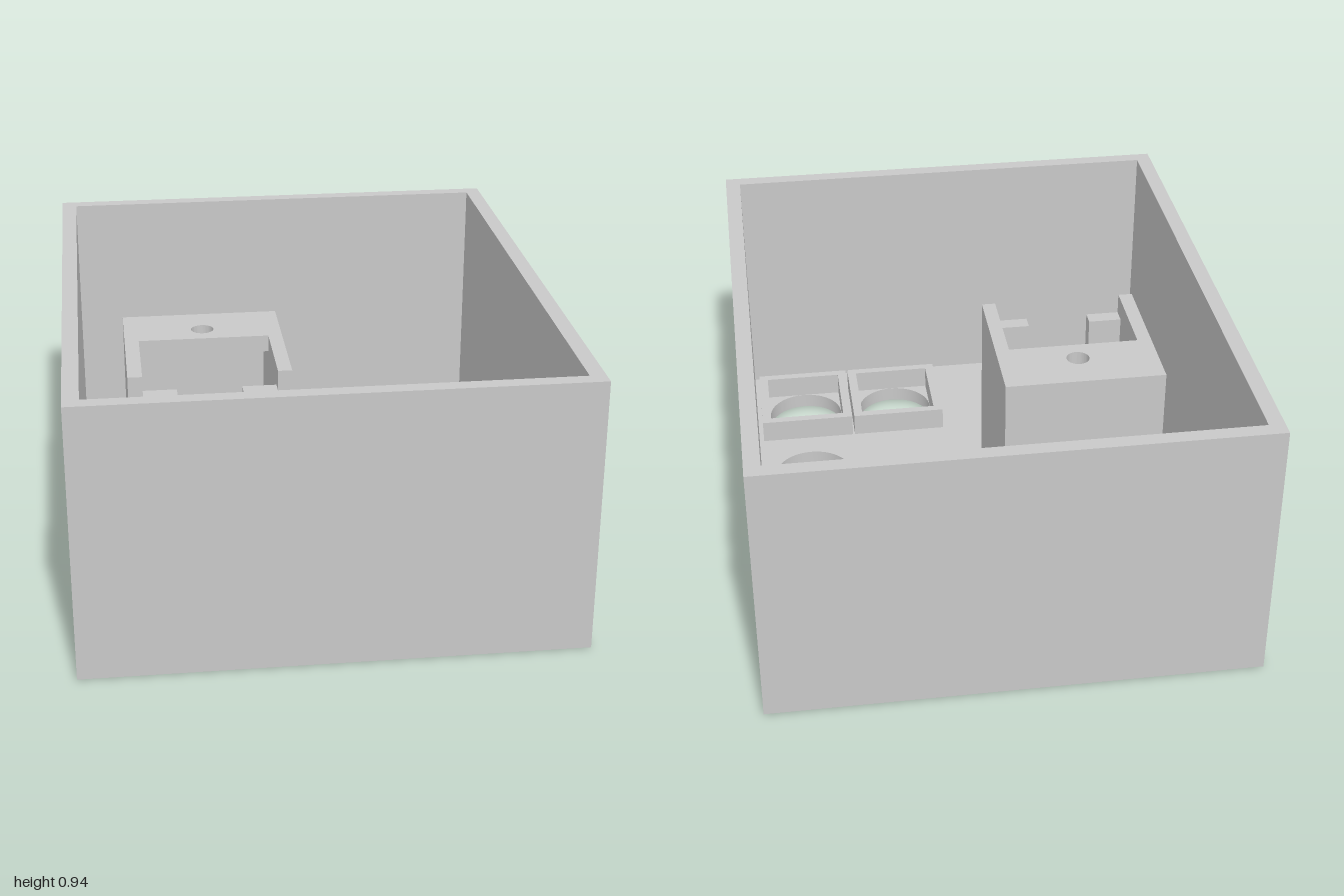
import * as THREE from 'three';
import { toCreasedNormals } from 'three/addons/utils/BufferGeometryUtils.js';

// Plan outlines are given in x and z, and are extruded upwards along y.
// Outer outlines run counter-clockwise, so that holes are turned to match.
const polygon = (pts, Kind = THREE.Shape) =>
  new Kind(pts.map(([x, z]) => new THREE.Vector2(x, -z)));
const rect = (x0, x1, z0, z1, Kind) =>
  polygon([[x0, z1], [x1, z1], [x1, z0], [x0, z0]], Kind);
const rectHole = (x0, x1, z0, z1) => rect(x0, x1, z0, z1, THREE.Path);
const circle = (x, z, r, Kind = THREE.Path) => {
  const c = new Kind();
  c.absarc(x, -z, r, 0, Math.PI * 2, false);
  return c;
};

export function createModel() {
  const model = new THREE.Group();
  model.name = 'enclosure';
  const grey = new THREE.MeshStandardMaterial({ color: 0xc8c8c8 });
  grey.name = 'grey plastic';

  const add = (name, shape, y0, y1, holes = [], parent = model) => {
    shape.holes.push(...holes);
    const geo = new THREE.ExtrudeGeometry(shape, {
      depth: y1 - y0, bevelEnabled: false, curveSegments: 40,
    });
    geo.rotateX(-Math.PI / 2);
    geo.translate(0, y0, 0);
    const mesh = new THREE.Mesh(toCreasedNormals(geo, 0.5), grey);
    mesh.name = name;
    parent.add(mesh);
  };

  const W = 0.833, FLOOR = 0.054, RIM = 0.943, FRAME = 0.138;
  const buttonXs = [0.233, 0.589];

  // Floor plate with all of its openings
  const holes = [
    rectHole(0.242, 0.58, -0.812, -0.258),    // display window
    rectHole(-0.575, -0.114, -0.236, 0.229),  // bracket opening
    rectHole(-0.769, -0.476, 0.404, 0.926),   // socket opening
    circle(-0.622, 0.358, 0.021),             // socket screw holes
    circle(-0.622, 0.972, 0.021),
    circle(0.233, 0.133, 0.058),              // round switch hole
    ...buttonXs.map((x) => circle(x, 0.665, 0.14)),
  ];
  for (let i = -1; i <= 1; i++) {
    for (let j = -1; j <= 1; j++) {
      holes.push(circle(0.589 + i * 0.066, 0.133 + j * 0.066, 0.02));
    }
  }
  add('floor', rect(-W, W, -1, 1), 0, FLOOR, holes);

  // Outer walls
  add('walls', rect(-W, W, -1, 1), FLOOR, RIM, [rectHole(-0.78, 0.78, -0.949, 0.949)]);

  // Display frame, open on one side with short hooked ends
  add('displayFrame', polygon([
    [0.061, -0.882], [0.061, -0.783], [0.093, -0.783], [0.093, -0.845],
    [0.73, -0.845], [0.73, -0.224], [0.093, -0.224], [0.093, -0.29],
    [0.061, -0.29], [0.061, -0.19], [0.765, -0.19], [0.765, -0.882],
  ]), FLOOR, FRAME);

  // Speaker ring
  add('speakerRing', circle(0.589, 0.133, 0.163, THREE.Shape), FLOOR, FRAME,
    [circle(0.589, 0.133, 0.14)]);

  // Square frames around the two button holes
  for (const x of buttonXs) {
    add('buttonFrame', rect(x - 0.174, x + 0.174, 0.494, 0.836), FLOOR, FRAME,
      [rectHole(x - 0.141, x + 0.141, 0.524, 0.806)]);
  }

  // Tall bracket: three walls, a drilled top plate and a slotted front
  const bracket = new THREE.Group();
  bracket.name = 'bracket';
  model.add(bracket);
  const TOP = 0.724;
  add('bracketWalls', polygon([
    [-0.625, 0.283], [-0.575, 0.283], [-0.575, -0.236], [-0.114, -0.236],
    [-0.114, 0.283], [-0.065, 0.283], [-0.065, -0.284], [-0.625, -0.284],
  ]), FLOOR, TOP, [], bracket);
  add('bracketTop', rect(-0.575, -0.114, -0.236, -0.044), TOP - 0.06, TOP,
    [circle(-0.344, -0.133, 0.04)], bracket);
  add('bracketSill', rect(-0.457, -0.232, 0.229, 0.283), FLOOR, 0.15, [], bracket);
  for (const [x0, x1] of [[-0.575, -0.457], [-0.232, -0.114]]) {
    add('bracketFront', rect(x0, x1, 0.229, 0.283), FLOOR, 0.65, [], bracket);
  }

  return model;
}
